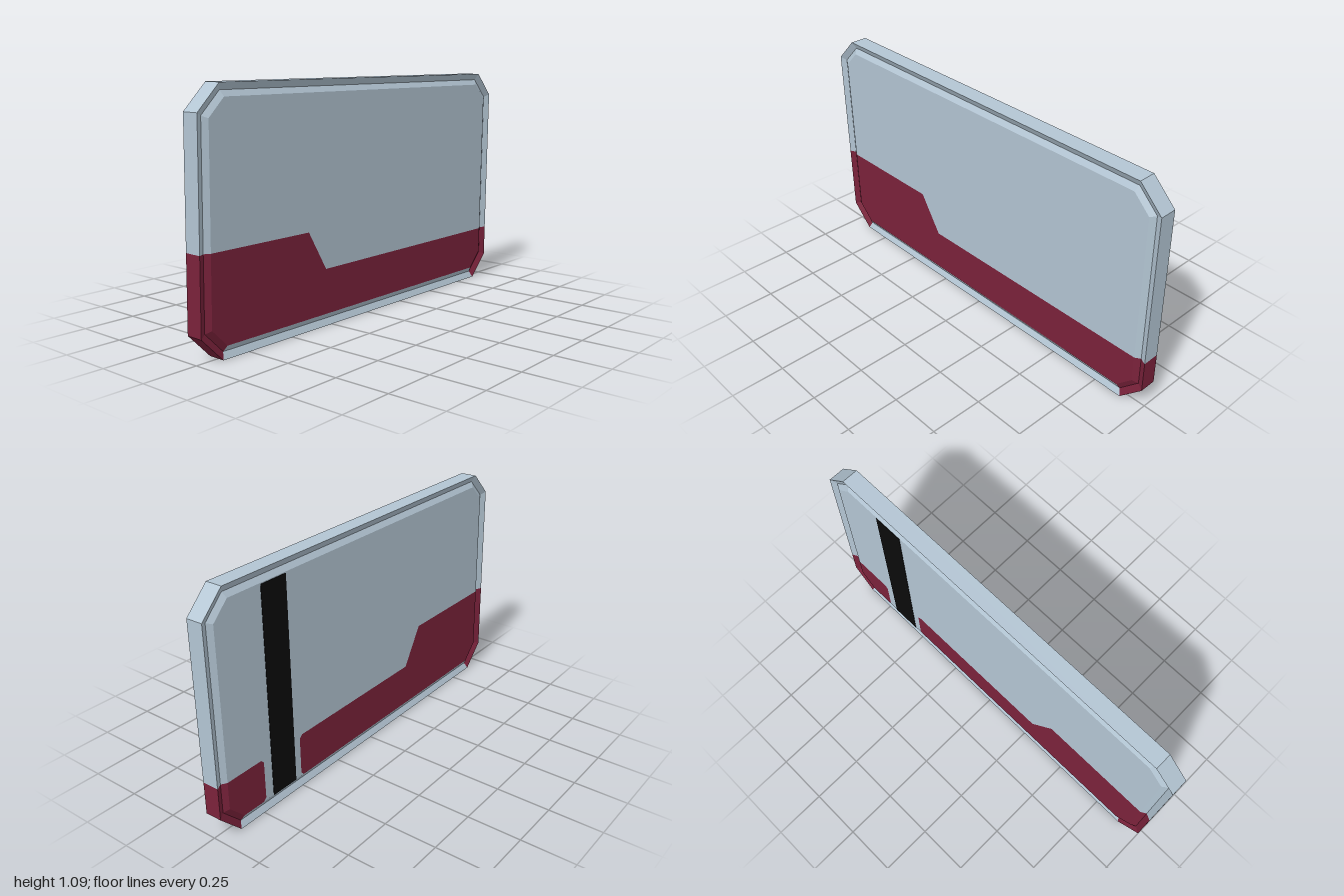
import * as THREE from 'three';

const HEIGHT = 1.09, HALF = 0.04, GROOVE = 0.015;

// Octagonal outline inset by d, counter-clockwise, with a point on each side where the colour changes
function outline(d) {
  const hx = 1 - d, y0 = d, y1 = HEIGHT - d, c = 0.11 - 0.586 * d, k = hx - c;
  return [[k, y0], [hx, y0 + c], [hx, 0.26], [hx, y1 - c], [k, y1],
    [-k, y1], [-hx, y1 - c], [-hx, 0.44], [-hx, y0 + c], [-k, y0]];
}

export function createModel() {
  const mat = (name, color) => {
    const m = new THREE.MeshStandardMaterial({ color });
    m.name = name;
    return m;
  };
  const grey = mat('pale steel', 0xb3c5d3);
  const red = mat('maroon', 0x7b223b);
  const black = mat('black', 0x0a0a0a);

  const group = new THREE.Group();
  group.name = 'card';
  const card = new THREE.Group();
  card.name = 'tiltedCard';
  group.add(card);
  const add = (name, geo, material) => {
    const m = new THREE.Mesh(geo, material);
    m.name = name;
    card.add(m);
    return m;
  };

  // Edge walls and V-shaped groove, sorted by colour
  const outer = outline(0), mid = outline(0.03), inner = outline(0.055);
  const faces = { red: [], grey: [] };
  const quad = (list, a, b, c, d) => list.push(...a, ...b, ...c, ...a, ...c, ...d);
  const band = (list, P, zp, Q, zq, i, j) => {
    const at = (p, z) => [p[0], p[1], z];
    quad(list, at(P[i], zp), at(P[j], zp), at(Q[j], zq), at(Q[i], zq));
    quad(list, at(Q[i], -zq), at(Q[j], -zq), at(P[j], -zp), at(P[i], -zp));
  };
  for (let i = 0; i < 10; i++) {
    const j = (i + 1) % 10;
    const list = [0, 1, 7, 8].includes(i) ? faces.red : faces.grey;
    quad(list, [...outer[i], HALF], [...outer[i], -HALF], [...outer[j], -HALF], [...outer[j], HALF]);
    band(list, outer, HALF, mid, HALF - GROOVE, i, j);
    band(list, mid, HALF - GROOVE, inner, HALF, i, j);
  }
  const rim = (name, list, material) => {
    const g = new THREE.BufferGeometry();
    g.setAttribute('position', new THREE.Float32BufferAttribute(list, 3));
    g.computeVertexNormals();
    add(name, g, material);
  };
  rim('lowerRim', faces.red, red);
  rim('upperRim', faces.grey, grey);

  // Flat panels on either face
  const panel = (name, pts, material, back = false) => {
    const s = back ? -1 : 1;
    const g = new THREE.ShapeGeometry(new THREE.Shape(pts.map(([x, y]) => new THREE.Vector2(s * x, y))));
    if (back) g.rotateY(Math.PI);
    g.translate(0, 0, s * HALF);
    add(name, g, material);
  };
  const I = inner;
  const step = [[-0.29, 0.26], [-0.4, 0.44]];
  const stepDown = [...step].reverse();
  panel('frontLowerPanel', [I[9], I[0], I[1], I[2], ...step, I[7], I[8]], red);
  panel('frontUpperPanel', [...I.slice(2, 8), ...stepDown], grey);

  // The back has a gap in the lower colour, with softened corners, around the strip
  const r = 0.015;
  const gapRight = [[0.508 - r, 0.055], [0.508, 0.055 + r], [0.508, 0.26 - r], [0.508 - r, 0.26]];
  const gapLeft = [[0.735 + r, 0.26], [0.735, 0.26 - r], [0.735, 0.055 + r], [0.735 + r, 0.055]];
  panel('backLowerPanelLeft', [...gapLeft, I[0], I[1], I[2]], red, true);
  panel('backLowerPanelRight', [I[9], ...gapRight, ...step, I[7], I[8]], red, true);
  panel('backUpperPanel', [...I.slice(2, 8), ...stepDown,
    ...[...gapRight].reverse(), ...[...gapLeft].reverse()], grey, true);

  // Dark strip on the back
  const strip = add('backStrip', new THREE.BoxGeometry(0.144, 0.975, 0.003), black);
  strip.position.set(0.617, 0.5425, -HALF - 0.0005);

  // Slight forward lean
  card.rotation.x = 0.0138;
  card.position.z = -0.0075;
  return group;
}
